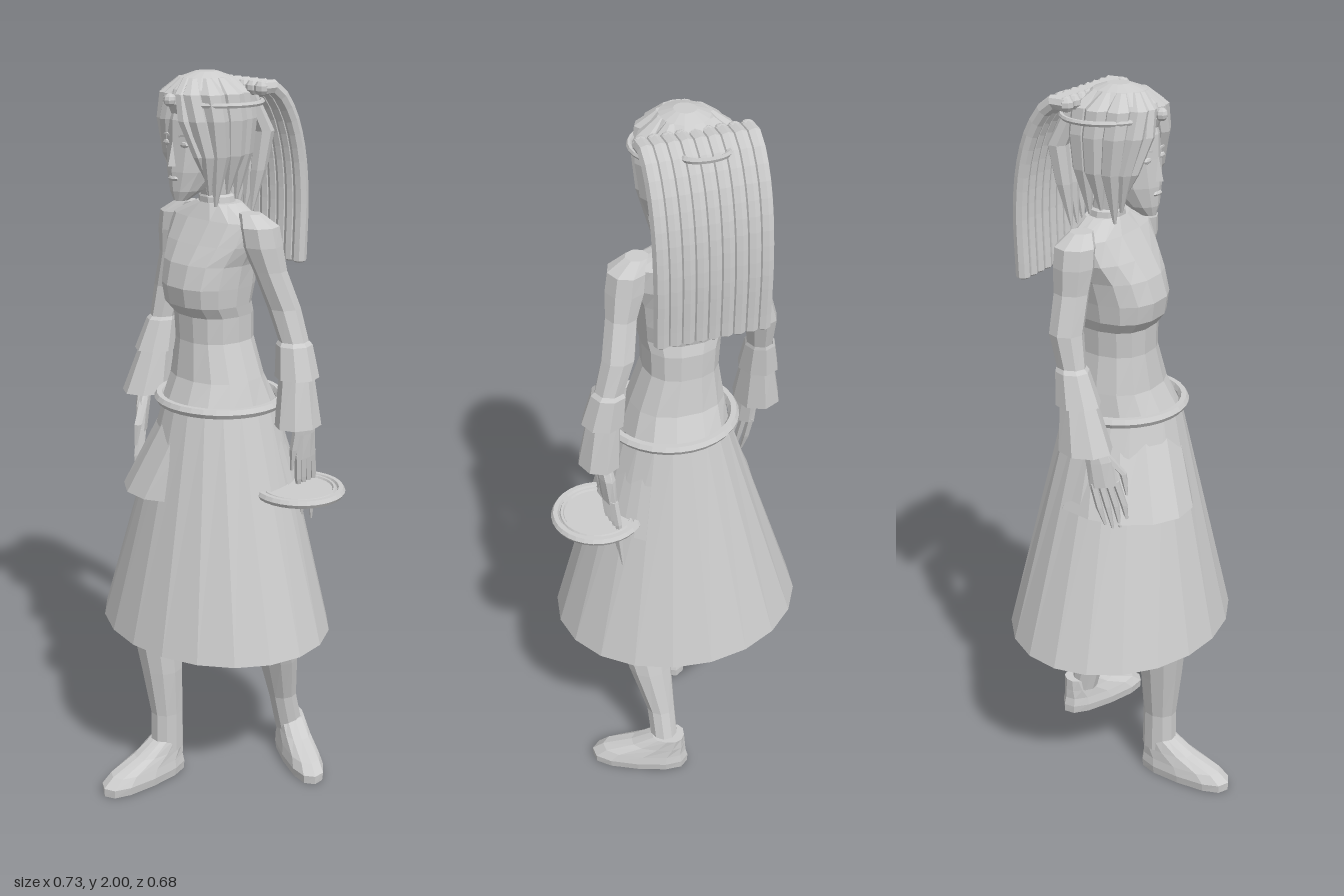
import * as THREE from 'three';

const grey = new THREE.MeshStandardMaterial({ color: 0xcccccc, flatShading: true, side: THREE.DoubleSide });
grey.name = 'plain grey';

// Solid or open skin over horizontal ellipses [x, y, z, rx, rz]; pow < 1 squares the outline
function loft(sections, n = 10, capped = true, pow = 1) {
  const rows = [...sections].sort((a, b) => a[1] - b[1]);
  const pos = [], idx = [];
  const bend = v => Math.sign(v) * Math.abs(v) ** pow;
  for (const [x, y, z, rx, rz = rx] of rows)
    for (let j = 0; j < n; j++) {
      const a = (j / n) * Math.PI * 2;
      pos.push(x + rx * bend(Math.cos(a)), y, z + rz * bend(Math.sin(a)));
    }
  for (let i = 0; i < rows.length - 1; i++)
    for (let j = 0; j < n; j++) {
      const k = (j + 1) % n, a = i * n + j, b = i * n + k;
      idx.push(a, a + n, b, b, a + n, b + n);
    }
  if (capped) {
    const top = (rows.length - 1) * n;
    for (let j = 1; j < n - 1; j++) idx.push(0, j, j + 1, top, top + j + 1, top + j);
  }
  const g = new THREE.BufferGeometry();
  g.setAttribute('position', new THREE.Float32BufferAttribute(pos, 3));
  g.setIndex(idx);
  g.computeVertexNormals();
  return g;
}

export function createModel() {
  const model = new THREE.Group();
  const add = (name, geo, parent = model, p = [0, 0, 0], s = [1, 1, 1]) => {
    const m = new THREE.Mesh(geo, grey);
    m.name = name;
    m.position.set(...p);
    m.scale.set(...s);
    parent.add(m);
    return m;
  };
  const group = name => {
    const g = new THREE.Group();
    g.name = name;
    model.add(g);
    return g;
  };
  const ring = (r, tube, seg = 32) => new THREE.TorusGeometry(r, tube, 6, seg).rotateX(Math.PI / 2);

  // Skirt with lining, belt and the under-tunic showing through it
  add('skirt', loft([[-0.012, 0.47, -0.04, 0.352, 0.3], [0.005, 1.13, -0.04, 0.15, 0.16]], 20, false));
  add('skirtLining', loft([[-0.012, 0.47, -0.04, 0.341, 0.289], [0.005, 1.1, -0.04, 0.145, 0.155]], 20, false));
  add('skirtHem', new THREE.RingGeometry(0.967, 1, 20).rotateX(Math.PI / 2), model, [-0.012, 0.47, -0.04], [0.352, 1, 0.3]);
  add('belt', ring(0.163, 0.014), model, [0.005, 1.135, -0.04], [1.04, 1, 1]);
  add('tunic', loft([[-0.068, 0.88, -0.005, 0.168, 0.21], [0, 1.12, -0.04, 0.135, 0.15]], 14));
  add('tunicBack', new THREE.CylinderGeometry(0.15, 0.232, 0.26, 4, 2, true, 1.9, 0.6), model, [0, 1.0, -0.04]);

  // Torso with a stepped bodice, collar and neck
  add('torso', loft([
    [0, 1.12, -0.04, 0.145, 0.155], [-0.008, 1.2, -0.04, 0.127, 0.115], [-0.018, 1.3, -0.04, 0.1, 0.1],
    [-0.02, 1.37, -0.038, 0.103, 0.1], [-0.024, 1.4, -0.022, 0.113, 0.108], [-0.025, 1.45, -0.024, 0.119, 0.118],
    [-0.028, 1.51, -0.032, 0.128, 0.108], [-0.03, 1.56, -0.045, 0.15, 0.09], [-0.03, 1.62, -0.058, 0.158, 0.065],
    [-0.03, 1.66, -0.065, 0.065, 0.05],
  ], 14, true, 0.85));
  add('neck', loft([[-0.033, 1.63, -0.065, 0.058, 0.05], [-0.035, 1.675, -0.06, 0.05, 0.046],
    [-0.035, 1.68, -0.058, 0.042], [-0.035, 1.78, -0.03, 0.045]], 10));

  // Head and face
  const head = group('head');
  add('skull', loft([
    [-0.035, 1.675, 0.06, 0.018, 0.02], [-0.035, 1.7, 0.04, 0.04, 0.047], [-0.035, 1.75, 0.008, 0.064, 0.083],
    [-0.035, 1.82, -0.01, 0.078, 0.098], [-0.035, 1.88, -0.018, 0.08, 0.105], [-0.035, 1.94, -0.02, 0.07, 0.09],
  ], 12), head);
  add('nose', new THREE.ConeGeometry(0.014, 0.07, 4), head, [-0.035, 1.8, 0.086], [0.8, 1, 1.2]);
  add('mouth', new THREE.SphereGeometry(1, 8, 4), head, [-0.035, 1.733, 0.086], [0.02, 0.007, 0.008]);
  for (const s of [-1, 1]) {
    add('eye', new THREE.SphereGeometry(1, 8, 4), head, [-0.035 + s * 0.034, 1.82, 0.077], [0.017, 0.008, 0.006]);
    add('eyebrow', new THREE.BoxGeometry(0.034, 0.005, 0.006), head, [-0.035 + s * 0.034, 1.843, 0.079]).rotation.z = s * 0.15;
  }

  // Rounded hair cap with broad tapered locks hanging from the crown
  const hair = group('hair');
  add('hairCap', loft([
    [-0.035, 1.74, -0.08, 0.07, 0.05], [-0.035, 1.8, -0.065, 0.095, 0.08], [-0.035, 1.87, -0.038, 0.108, 0.108],
    [-0.035, 1.92, -0.022, 0.106, 0.115], [-0.035, 1.955, -0.02, 0.09, 0.1], [-0.035, 1.982, -0.022, 0.062, 0.07],
    [-0.035, 1.995, -0.025, 0.028, 0.03],
  ], 16), hair);
  // each lock: angles round the head at crown, temple, cheek and tip, then tip height and thickness
  const locks = [
    [0.1, 0.4, 0.76, 0.95, 1.73, 0.02], [0.4, 0.75, 0.98, 1.05, 1.69, 0.027], [1.0, 1.2, 1.3, 1.25, 1.66, 0.033],
    [1.6, 1.7, 1.75, 1.7, 1.69, 0.035], [2.2, 2.2, 2.25, 2.3, 1.67, 0.035],
  ];
  for (const s of [-1, 1])
    for (const [a, b, c, d, low, w] of locks) {
      const at = (ang, r, y, t) => [-0.035 + s * Math.sin(ang) * r, y, -0.022 + Math.cos(ang) * r * 1.12, t];
      add('hairLock', loft([at(a, 0.055, 1.982, 0.014), at((a + b) / 2, 0.087, 1.945, w), at(b, 0.095, 1.88, w),
        at(c, 0.09, 1.79, w * 0.85), at(d, 0.076, low, 0.004)], 7), hair);
    }
  for (let k = -2; k <= 2; k++)
    add('napeLock', loft([[-0.035 + k * 0.03, 1.95, -0.11, 0.022], [-0.035 + k * 0.035, 1.84, -0.162, 0.028],
      [-0.035 + k * 0.032, 1.74, -0.15, 0.022], [-0.035 + k * 0.028, 1.63, -0.135, 0.004]], 7), hair);

  // Circlet with a jewel
  add('circlet', ring(0.14, 0.007), hair, [-0.035, 1.92, -0.045], [1, 1, 0.86]);
  add('jewel', new THREE.SphereGeometry(0.017, 8, 6), hair, [-0.035, 1.93, 0.095]);

  // Fan of nine strands falling down the back, fuller at the crown
  const fall = group('ponytail');
  const path = [[1.957, -0.095], [1.962, -0.115], [1.948, -0.148], [1.89, -0.192], [1.8, -0.224], [1.68, -0.24], [1.5, -0.238]];
  for (let i = 0; i < 9; i++) {
    const pts = path.map(([y, z]) => new THREE.Vector3(-0.033 + (i - 4) * 0.0328, y, z));
    add('strand', new THREE.TubeGeometry(new THREE.CatmullRomCurve3(pts), 14, 0.02, 8), fall);
    add('strandEnd', new THREE.SphereGeometry(0.02, 8, 5), fall, pts[0].toArray());
    add('strandTip', new THREE.SphereGeometry(0.02, 8, 5), fall, pts[6].toArray(), [1, 0.5, 1]);
  }
  add('hairTie', new THREE.TorusGeometry(0.055, 0.008, 5, 12, Math.PI).rotateX(-Math.PI / 2), fall, [-0.035, 1.945, -0.17], [1, 1, 0.5]);

  // Arms with shoulder caps and two-tier flared cuffs
  const arm = (name, upper, cuffs) => {
    const g = group(name);
    add('sleeve', loft(upper, 8), g);
    cuffs.forEach(c => add('cuff', loft(c, 8, false), g));
    return g;
  };
  const right = arm('rightArm', [
    [-0.16, 1.645, -0.06, 0.03], [-0.19, 1.615, -0.06, 0.05, 0.055], [-0.197, 1.565, -0.06, 0.052, 0.055],
    [-0.207, 1.5, -0.062, 0.043, 0.048], [-0.234, 1.4, -0.062, 0.044, 0.046], [-0.243, 1.3, -0.04, 0.034, 0.038], [-0.25, 1.12, 0.01, 0.026],
  ], [
    [[-0.242, 1.315, -0.045, 0.036, 0.04], [-0.244, 1.305, -0.04, 0.042, 0.046], [-0.25, 1.22, -0.02, 0.056, 0.062]],
    [[-0.247, 1.25, -0.025, 0.042, 0.045], [-0.258, 1.1, 0.005, 0.066, 0.075]],
  ]);
  const left = arm('leftArm', [
    [0.1, 1.645, -0.06, 0.03], [0.128, 1.615, -0.065, 0.05, 0.055], [0.135, 1.565, -0.07, 0.052, 0.055],
    [0.15, 1.5, -0.085, 0.042, 0.046], [0.17, 1.4, -0.118, 0.044, 0.044], [0.203, 1.3, -0.13, 0.038, 0.04], [0.23, 1.12, -0.135, 0.026],
  ], [
    [[0.198, 1.315, -0.128, 0.04, 0.042], [0.201, 1.305, -0.128, 0.047, 0.05], [0.217, 1.22, -0.125, 0.058, 0.06]],
    [[0.213, 1.25, -0.125, 0.043, 0.045], [0.23, 1.09, -0.12, 0.056, 0.068]],
  ]);

  // Hands: palm, four fingers, thumb; (dx, dz) leans the fingers, turn swings the row of knuckles
  const hand = (parent, pos, dx, dz, turn) => {
    const h = new THREE.Group();
    h.name = 'hand';
    h.position.set(...pos);
    h.rotation.y = turn;
    parent.add(h);
    add('palm', loft([[0, 0, 0, 0.02], [dx * 0.3, -0.06, dz * 0.3, 0.02, 0.036], [dx * 0.5, -0.13, dz * 0.5, 0.016, 0.04]], 8), h);
    for (let i = 0; i < 4; i++) {
      const o = (i - 1.5) * 0.02, len = 0.13 - 0.012 * Math.abs(i - 1.5);
      add('finger', loft([[dx * 0.5, -0.12, dz * 0.5 + o, 0.011], [dx * 0.8, -0.19, dz * 0.8 + o * 1.1, 0.01],
        [dx, -0.13 - len, dz + o, 0.004]], 5), h);
    }
    add('thumb', loft([[0, -0.04, 0.03, 0.012], [dx * 0.6, -0.1, dz * 0.5 + 0.05, 0.011], [dx, -0.16, dz * 0.6 + 0.052, 0.004]], 5), h);
  };
  hand(right, [-0.25, 1.125, 0.02], -0.015, 0.06, 0.75);
  hand(left, [0.228, 1.12, -0.145], -0.015, -0.035, 0.15);

  // Round plate by the left hand, with pointed tassels beneath
  const plate = group('plate');
  plate.position.set(0.239, 0.91, -0.12);
  add('plateRim', ring(0.113, 0.012), plate);
  add('plateInnerRim', ring(0.096, 0.006), plate, [0, 0.004, 0]);
  add('plateDisc', new THREE.CylinderGeometry(0.108, 0.108, 0.008, 28), plate);
  for (let k = 0; k < 4; k++)
    add('tassel', loft([[-0.03, 0, 0.03 - k * 0.036, 0.012, 0.017], [-0.04, -0.06 - 0.02 * k, 0.02 - k * 0.036, 0.003]], 5), plate);

  // Legs, each with a foot turned its own way
  const leg = (name, sections, foot, turn) => {
    const g = group(name);
    add('leg', loft(sections, 10), g);
    const f = add('foot', loft([
      [0, 0, 0.085, 0.048, 0.142], [0, 0.025, 0.085, 0.052, 0.143], [0, 0.05, 0.072, 0.047, 0.124],
      [0, 0.08, 0.03, 0.042, 0.08], [0, 0.115, 0, 0.038, 0.047],
    ], 12, true, 0.8), g, foot);
    f.rotation.y = turn;
  };
  leg('rightLeg', [
    [-0.05, 0.08, 0.112, 0.042, 0.051], [-0.049, 0.2, 0.113, 0.043, 0.049], [-0.059, 0.34, 0.122, 0.06, 0.06],
    [-0.072, 0.46, 0.13, 0.071, 0.069], [-0.075, 0.65, 0.09, 0.08, 0.085], [-0.075, 1.0, -0.02, 0.085, 0.09],
  ], [-0.05, 0, 0.115], 0);
  leg('leftLeg', [
    [0.092, 0.08, -0.242, 0.039, 0.043], [0.094, 0.2, -0.21, 0.041, 0.042], [0.112, 0.34, -0.17, 0.062, 0.055],
    [0.122, 0.46, -0.132, 0.08, 0.068], [0.11, 0.65, -0.1, 0.08, 0.08], [0.09, 1.0, -0.06, 0.08, 0.09],
  ], [0.085, 0, -0.252], 1.15);

  return model;
}
